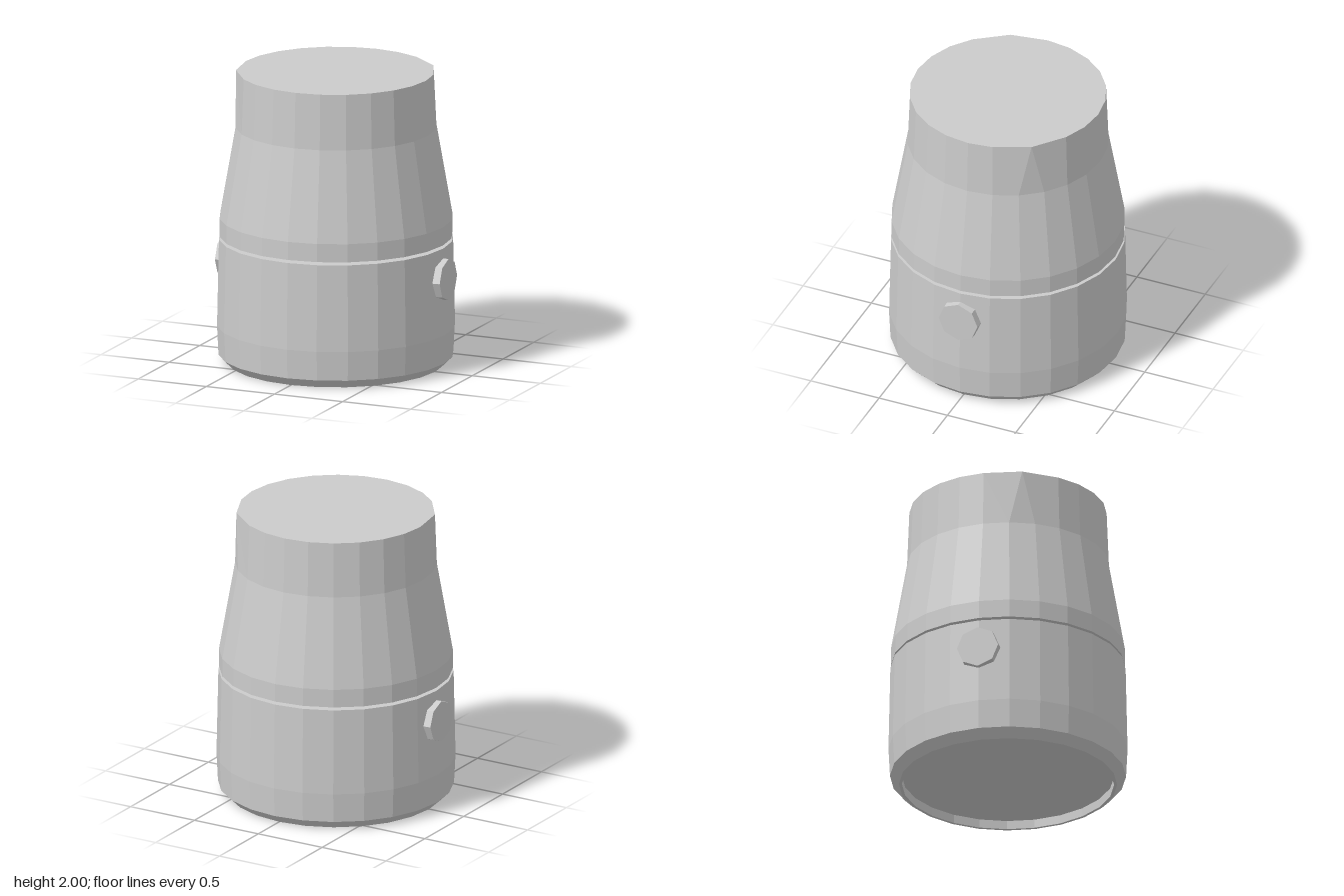
import * as THREE from 'three';

const SIDES = 24;

export function createModel() {
  const group = new THREE.Group();
  const material = new THREE.MeshStandardMaterial({ color: 0xcccccc, flatShading: true });

  const add = (name, geometry) => {
    const mesh = new THREE.Mesh(geometry, material);
    mesh.name = name;
    group.add(mesh);
    return mesh;
  };
  const lathe = (profile) =>
    new THREE.LatheGeometry(profile.map(([r, y]) => new THREE.Vector2(r, y)), SIDES);

  // Lower body with a recessed floor and a chamfered foot
  add('base', lathe([
    [0, 0.06], [0.71, 0.06], [0.71, 0], [0.73, 0], [0.79, 0.06],
    [0.8, 0.26], [0.787, 0.855], [0, 0.855],
  ]));

  // Narrow core seen in the gap between the two bodies
  const core = add('core', new THREE.CylinderGeometry(0.635, 0.635, 0.06, SIDES, 1, true));
  core.position.y = 0.865;

  // Tapered upper body
  const profile = [
    [0, 0.875], [0.783, 0.875], [0.783, 1], [0.675, 1.62], [0.66, 2], [0, 2],
  ];
  const upper = lathe(profile);
  // Merge two pairs of rim corners, giving the small facets at the rim
  const rim = 4;
  for (const first of [8, 19]) {
    const angle = ((first + 0.5) / SIDES) * Math.PI * 2;
    for (const i of [first, first + 1]) {
      upper.attributes.position.setXYZ(i * profile.length + rim,
        0.67 * Math.sin(angle), 2, 0.67 * Math.cos(angle));
    }
  }
  add('upperBody', upper);

  // Round button on each side
  for (const side of [1, -1]) {
    const button = add(side > 0 ? 'leftButton' : 'rightButton',
      new THREE.CylinderGeometry(0.142, 0.148, 0.11, 8));
    button.rotation.z = -side * Math.PI / 2;
    button.position.set(side * 0.77, 0.645, 0);
  }

  return group;
}
